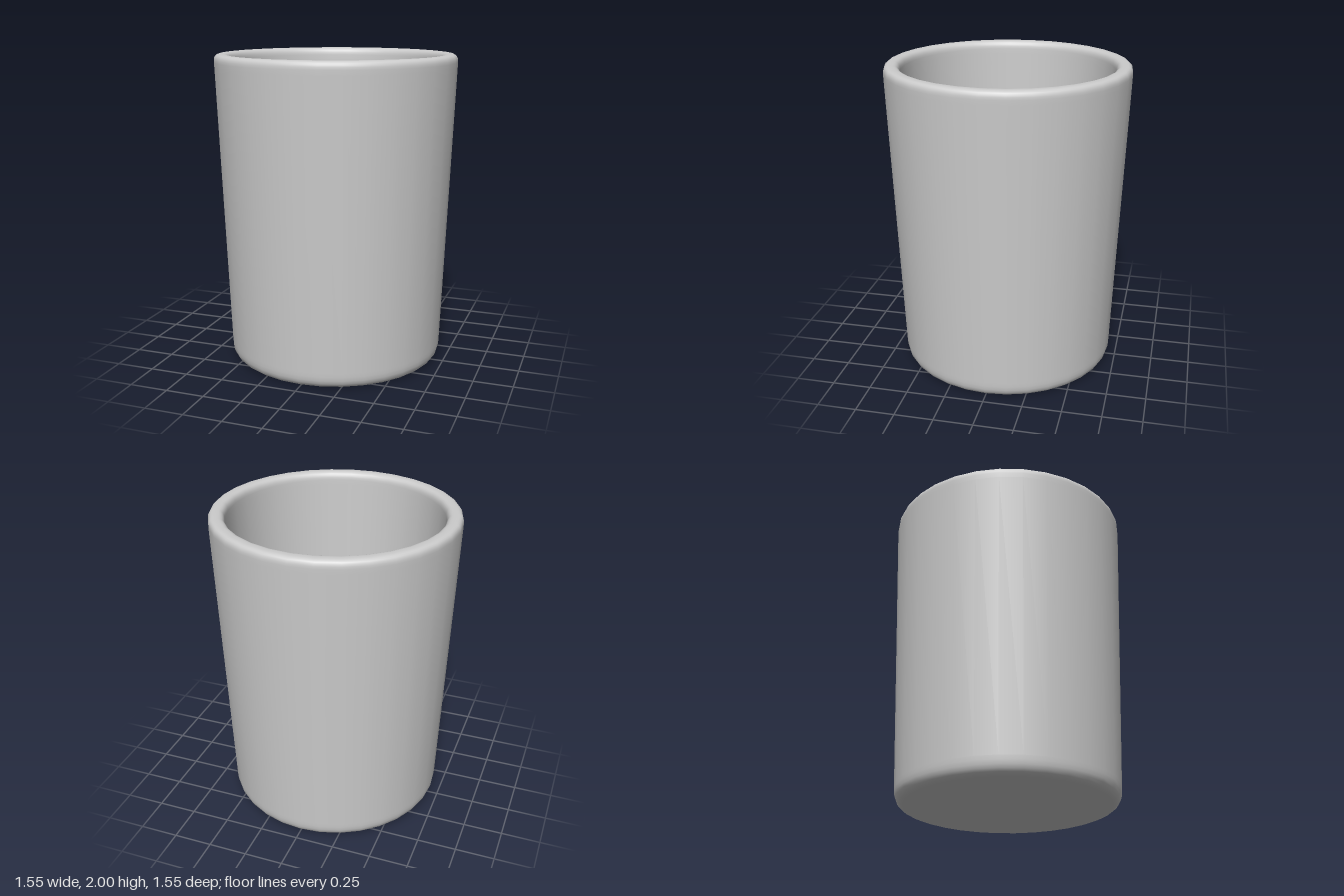
import * as THREE from 'three';

export function createModel() {
  const group = new THREE.Group();
  group.name = 'cup';

  // Closed wall profile: underside, outer wall, rounded rim, inner wall, inner floor
  const profile = new THREE.Path();
  profile.moveTo(0, 0);
  profile.lineTo(0.6, 0);
  profile.lineTo(0.625, 0);
  profile.quadraticCurveTo(0.7, 0, 0.703, 0.085); // bottom outer fillet
  profile.lineTo(0.704, 0.11);
  profile.lineTo(0.774, 1.92);
  profile.lineTo(0.775, 1.95);
  profile.quadraticCurveTo(0.777, 2, 0.735, 2); // rim outer edge
  profile.lineTo(0.718, 2);
  profile.quadraticCurveTo(0.677, 2, 0.675, 1.95); // rim inner edge
  profile.lineTo(0.674, 1.92);
  profile.lineTo(0.607, 0.2);
  profile.lineTo(0.606, 0.17);
  profile.quadraticCurveTo(0.603, 0.1, 0.54, 0.1); // inner floor fillet
  profile.lineTo(0.515, 0.1);
  profile.lineTo(0, 0.1);

  const body = new THREE.Mesh(
    new THREE.LatheGeometry(profile.getPoints(6), 32),
    new THREE.MeshStandardMaterial({ color: 0xcccccc })
  );
  body.name = 'cupBody';
  group.add(body);
  return group;
}
